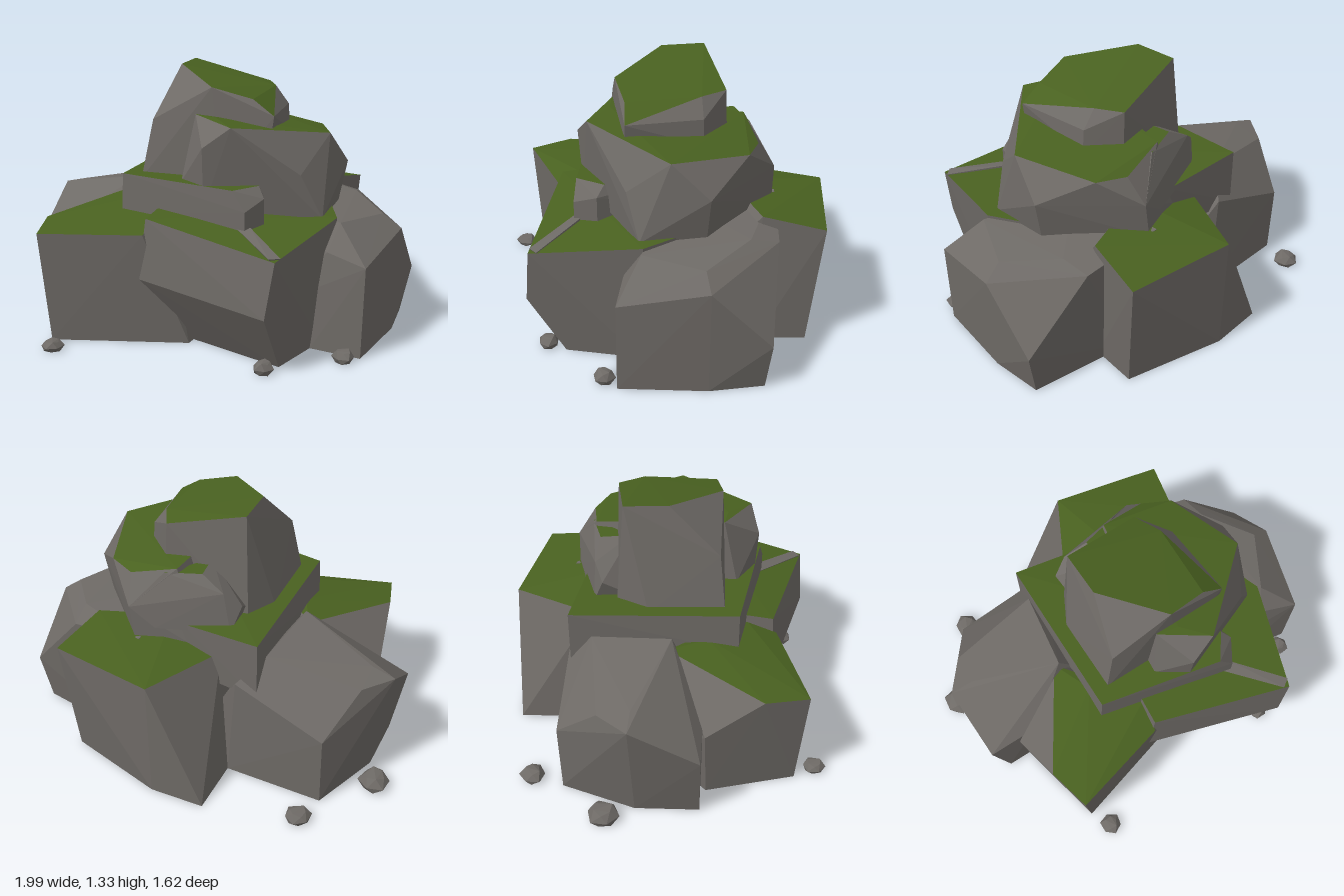
import * as THREE from 'three';
import { ConvexGeometry } from 'three/addons/geometries/ConvexGeometry.js';

const stone = new THREE.MeshStandardMaterial({ color: 0x6e6a66 });
stone.name = 'stone grey';
const moss = new THREE.MeshStandardMaterial({ color: 0x496120 });
moss.name = 'moss green';

// Faceted boulder: hull of its corners, with moss on facets whose normal rises above mossLevel
function boulder(name, corners, mossLevel = 2) {
  const geometry = new ConvexGeometry(corners.map((c) => new THREE.Vector3(...c)));
  const normal = geometry.attributes.normal;
  for (let i = 0; i < normal.count; i += 3) {
    geometry.addGroup(i, 3, normal.getY(i) > mossLevel ? 1 : 0);
  }
  const mesh = new THREE.Mesh(geometry, [stone, moss]);
  mesh.name = name;
  return mesh;
}

// Small loose stone: three uneven rings of corners
function pebble(x, z, r, h, turn) {
  const corners = [];
  [[0, 0.75], [0.45, 1], [1, 0.6]].forEach(([level, width], ring) => {
    for (let i = 0; i < 6; i++) {
      const a = turn + (i + ring * 0.4) * Math.PI / 3;
      const w = r * width * (1 - 0.1 * ((i + ring) % 2));
      corners.push([x + Math.cos(a) * w, h * (level - (ring === 2 ? 0.08 * (i % 3) : 0)), z + Math.sin(a) * w]);
    }
  });
  return boulder('pebble', corners);
}

export function createModel() {
  const group = new THREE.Group();
  group.name = 'mossyRockPile';

  group.add(
    // Base ring of boulders, meeting under the middle
    boulder('frontRightBoulder', [
      [-0.71, 0.585, 0.47], [-0.65, 0.565, 0.69], [-0.15, 0.57, 0.55], [-0.1, 0.63, 0.38],
      [-0.33, 0.66, 0.2], [-0.42, 0.66, 0], [-0.76, 0.4, 0.19], [-0.72, 0, 0.2],
      [-0.61, 0, 0.65], [0.05, 0, 0.45], [0.1, 0, -0.1], [-0.4, 0, -0.1],
    ], 0.75),
    boulder('frontLeftBoulder', [
      [-0.14, 0.65, 0.53], [0.57, 0.575, 0.72], [0.72, 0.65, 0.19], [0.6, 0.67, -0.1],
      [-0.12, 0.7, 0.1], [-0.18, 0.34, 0.54], [0.53, 0.3, 0.74], [0.06, 0, 0.4],
      [0.55, 0, 0.56], [0.66, 0, 0.2], [0.5, 0, -0.15], [-0.05, 0, -0.1],
    ], 0.75),
    boulder('bareRidge', [
      [0.3, 0.635, 0.47], [0.37, 0.64, 0.46], [0.585, 0.585, 0.68], [0.54, 0.586, 0.712],
      [0.4, 0.5, 0.5], [0.54, 0.5, 0.66],
    ]),
    boulder('leftBoulder', [
      [0.74, 0.63, 0.2], [0.89, 0.615, -0.08], [0.9, 0.46, 0.335], [0.7, 0.5, 0.28],
      [0.985, 0.545, -0.09], [1, 0.25, -0.38], [0.7, 0.655, -0.32], [0.68, 0.62, -0.46],
      [0.27, 0.69, -0.52], [0.3, 0.69, 0], [0.95, 0, -0.36], [0.96, 0, -0.09],
      [0.89, 0, 0.335], [0.63, 0, 0.3], [0.4, 0, -0.48], [0.1, 0, -0.3], [0.1, 0, 0.2],
    ]),
    boulder('rightBoulder', [
      [-0.94, 0.59, -0.17], [-0.82, 0.59, -0.32], [-0.35, 0.68, -0.38], [-0.4, 0.715, 0.02],
      [-0.82, 0.62, -0.16], [-0.92, 0.38, 0.17], [-0.66, 0.44, 0.18], [-0.71, 0.38, -0.53],
      [-0.24, 0.56, -0.5], [-0.85, 0, -0.15], [-0.85, 0, 0.17], [-0.71, 0, -0.52],
      [-0.2, 0, -0.5], [0.1, 0, -0.3], [0.1, 0, 0.15],
    ]),
    boulder('backBoulder', [
      [0.08, 0.645, -0.81], [0.635, 0.64, -0.7], [0.57, 0.7, -0.4], [0.2, 0.72, -0.3],
      [-0.12, 0.65, -0.4], [-0.2, 0, -0.8], [0.08, 0, -0.8], [0.59, 0, -0.64],
      [0.56, 0, -0.4], [0.35, 0, 0.1], [-0.2, 0, 0.1],
    ], 0.75),

    // Stacked rocks
    boulder('middleSlab', [
      [-0.34, 0.815, 0.35], [0.28, 0.815, 0.47], [0.37, 0.815, 0.34], [0.41, 0.765, 0.38],
      [0.35, 0.72, 0.49], [0.08, 0.78, -0.43], [-0.35, 0.81, -0.49], [-0.35, 0.6, 0.35],
      [0.35, 0.6, 0.49], [0.41, 0.6, 0.38], [0.1, 0.5, -0.42], [-0.35, 0.5, -0.49],
    ], 0.9),
    boulder('upperRock', [
      [0.02, 1.125, 0.27], [0.13, 1.12, 0.29], [0.25, 1.1, 0.41], [0.12, 1, 0.45],
      [0.12, 0.7, 0.43], [-0.03, 0.8, 0.34], [0.55, 0.86, 0.25], [0.65, 0.64, 0.2],
      [0.64, 1.035, 0.05], [0.5, 0.995, -0.34], [0.36, 0.99, -0.41], [0.12, 1.055, -0.38],
      [0.69, 0.86, -0.13], [0.65, 0.65, -0.12], [0.33, 0.85, -0.5], [0.3, 0.65, -0.5],
      [0, 0.65, -0.42],
    ], 0.75),
    boulder('backLedge', [
      [-0.2, 0.9, -0.33], [-0.12, 0.97, -0.37], [0, 1.04, -0.35], [0.18, 1.03, -0.4],
      [0.33, 0.85, -0.5], [-0.16, 0.76, -0.38], [0.2, 0.75, -0.48], [0.02, 1.04, -0.2],
      [0.3, 0.75, -0.1], [-0.15, 0.75, -0.1],
    ], 0.9),
    boulder('topRock', [
      [-0.17, 1.325, -0.22], [-0.16, 1.325, 0], [0.1, 1.26, 0.26], [0.3, 1.21, 0.23],
      [0.41, 1.135, 0.24], [0.3, 1.22, -0.14], [0.23, 1.22, -0.27], [0.37, 1.13, -0.14],
      [0.39, 1.0, 0.24], [0.38, 1.0, -0.14], [0.25, 0.82, -0.28], [-0.215, 1.08, 0.25],
      [-0.28, 0.78, -0.1], [-0.27, 0.78, 0.28], [0.15, 0.78, 0.27], [-0.2, 0.78, -0.26],
    ], 0.7),
  );

  // Loose stones around the base
  [
    [-0.92, -0.3, 0.085, 0.08, 0.3], [-0.66, -0.68, 0.07, 0.06, 1.1], [-0.55, 0.755, 0.06, 0.05, 0.2],
    [0.5, 0.645, 0.055, 0.06, 0.7], [0.82, 0.39, 0.058, 0.06, 1.5],
  ].forEach((p) => group.add(pebble(...p)));

  return group;
}
